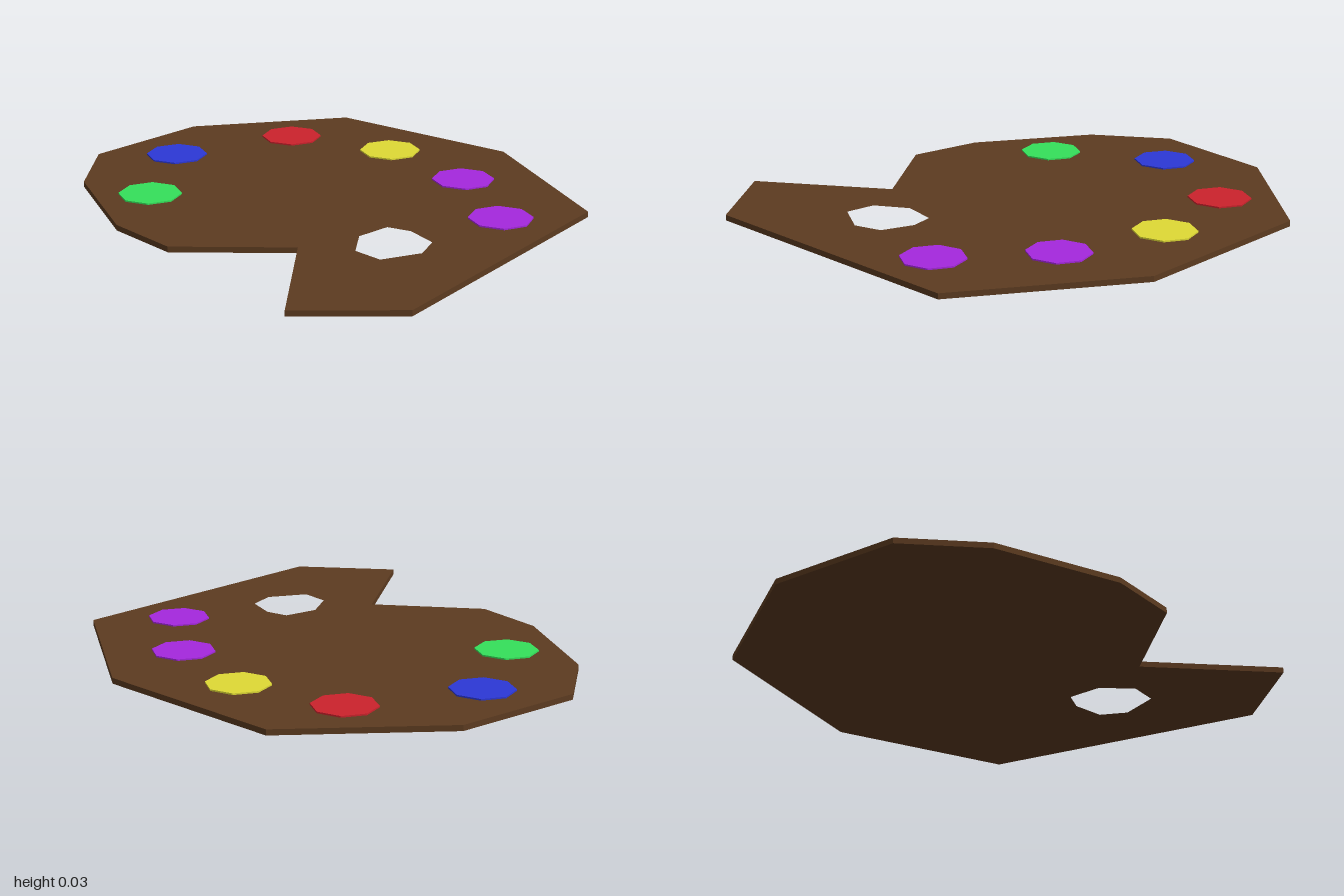
import * as THREE from 'three';

const THICKNESS = 0.022;
const PAINT_TOP = 0.028;

// Outlines as [x, z] seen from above
const OUTLINE = [
  [-0.295, -1], [0.23, -1], [0.78, -0.62], [0.893, 0.17], [0.56, 0.85], [-0.6, 1],
  [-0.895, 0.7], [-0.465, 0.33], [-0.785, -0.01], [-0.772, -0.31], [-0.553, -0.775],
];
const THUMB_HOLE = [
  [-0.23, 0.41], [-0.09, 0.42], [-0.06, 0.51], [-0.09, 0.64],
  [-0.195, 0.685], [-0.345, 0.62], [-0.345, 0.5],
];
const PAINTS = [
  ['greenPaint', -0.465, -0.478, 0x35e05a],
  ['bluePaint', -0.075, -0.765, 0x2c38d6],
  ['redPaint', 0.423, -0.598, 0xcc222c],
  ['yellowPaint', 0.574, -0.173, 0xdfda35],
  ['purplePaintBack', 0.508, 0.278, 0xa528de],
  ['purplePaintFront', 0.272, 0.662, 0xa528de],
];

const toPoints = (list) => list.map(([x, z]) => new THREE.Vector2(x, -z));
const material = (color) => new THREE.MeshStandardMaterial({ color, flatShading: true });

export function createModel() {
  const group = new THREE.Group();
  group.name = 'paintPalette';

  // Flat wooden board with a thumb hole
  const shape = new THREE.Shape(toPoints(OUTLINE));
  shape.holes.push(new THREE.Path(toPoints(THUMB_HOLE)));
  const boardGeometry = new THREE.ExtrudeGeometry(shape, { depth: THICKNESS, bevelEnabled: false });
  boardGeometry.rotateX(-Math.PI / 2);
  const board = new THREE.Mesh(boardGeometry, material(0x5c3b20));
  board.name = 'board';
  group.add(board);

  // Eight-sided paint dabs, slightly sunk into the board
  const bottom = THICKNESS / 2;
  const dabGeometry = new THREE.CylinderGeometry(0.123, 0.123, PAINT_TOP - bottom, 8);
  for (const [name, x, z, color] of PAINTS) {
    const dab = new THREE.Mesh(dabGeometry, material(color));
    dab.name = name;
    dab.position.set(x, (PAINT_TOP + bottom) / 2, z);
    group.add(dab);
  }
  return group;
}
